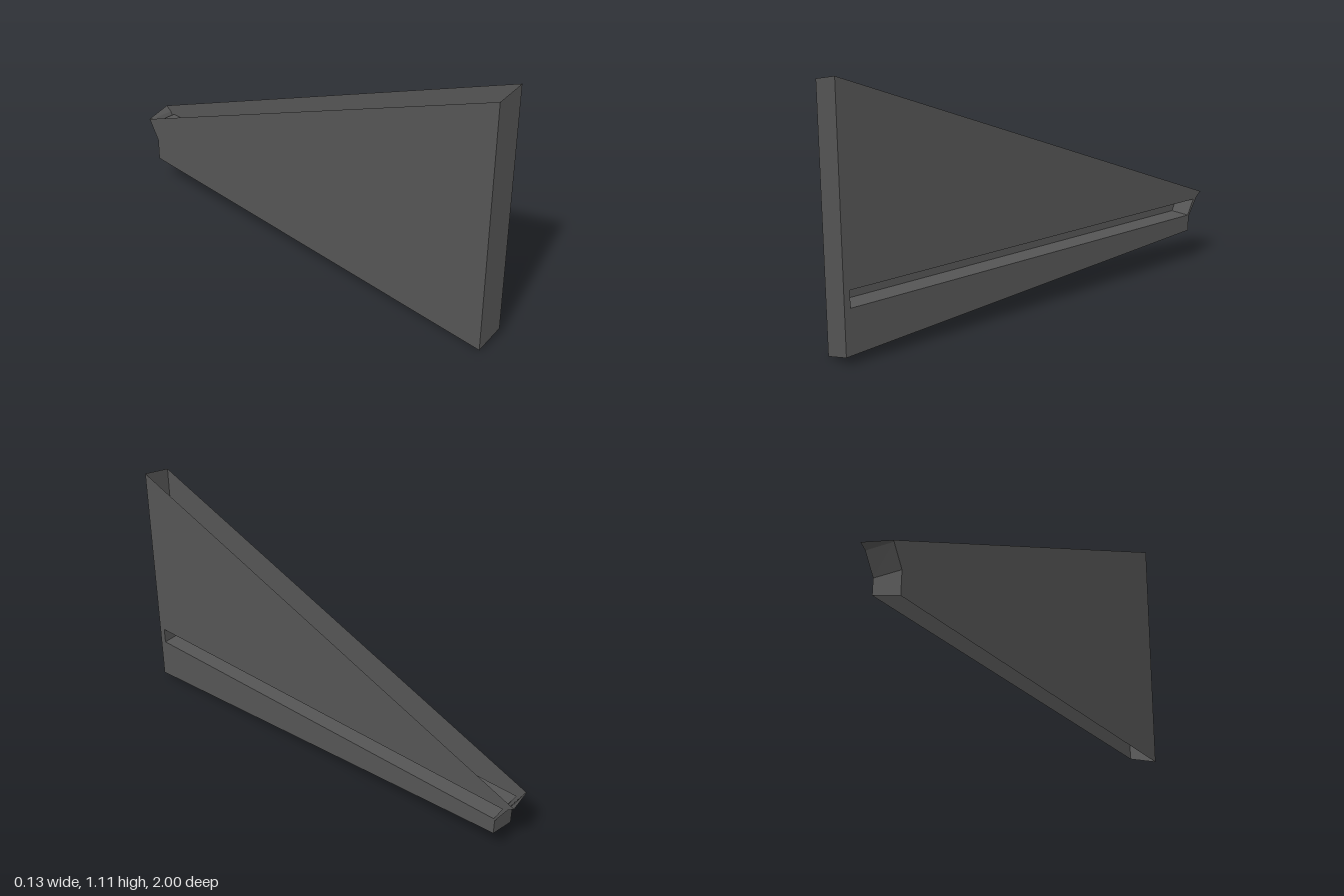
import * as THREE from 'three';

const HALF = 0.065;       // half width of the shell
const CHANNEL_X = -0.035; // depth reached by the side channel

// Side outlines as [z, y], from the lower front corner round to the lower back one
const innerSide = [[1, 0], [1, 1.087], [-0.976, 0.313], [-0.971, 0.308], [-0.92, 0.22], [-0.92, 0.12]];
const outerSide = [[1, 0.035], [1, 1.113], [-1, 0.33], [-0.972, 0.308], [-0.92, 0.22], [-0.92, 0.152]];
const channel = [[0.973, 0.228], [0.973, 0.3], [-0.95, 0.3], [-0.914, 0.228]];

const material = new THREE.MeshStandardMaterial({
  color: 0x555555, side: THREE.DoubleSide, flatShading: true,
});

function part(name, geometry) {
  geometry.computeVertexNormals();
  const mesh = new THREE.Mesh(geometry, material);
  mesh.name = name;
  return mesh;
}

// Flat plate standing at a given x, with an optional opening
function plate(name, outline, x, hole) {
  const toPoints = (list) => list.map(([z, y]) => new THREE.Vector2(z, y));
  const shape = new THREE.Shape(toPoints(outline));
  if (hole) shape.holes.push(new THREE.Path(toPoints(hole)));
  const g = new THREE.ShapeGeometry(shape);
  const p = g.attributes.position;
  for (let i = 0; i < p.count; i++) p.setXYZ(i, x, p.getY(i), p.getX(i));
  return part(name, g);
}

// Strip of quads joining two [z, y] lines at different x
function strip(name, lineA, xA, lineB, xB) {
  const pos = [];
  const at = (line, i, x) => [x, line[i][1], line[i][0]];
  for (let i = 0; i < lineA.length - 1; i++) {
    const a = at(lineA, i, xA), b = at(lineA, i + 1, xA);
    const c = at(lineB, i + 1, xB), d = at(lineB, i, xB);
    pos.push(...a, ...b, ...c, ...a, ...c, ...d);
  }
  const g = new THREE.BufferGeometry();
  g.setAttribute('position', new THREE.Float32BufferAttribute(pos, 3));
  return part(name, g);
}

export function createModel() {
  const group = new THREE.Group();
  group.name = 'taperedShell';

  // Side walls, the outer one cut by the long channel
  group.add(plate('plainSideWall', innerSide, -HALF));
  group.add(plate('channelSideWall', outerSide, HALF, channel));

  // End walls; top and bottom stay open
  group.add(strip('frontWall', innerSide.slice(0, 2), -HALF, outerSide.slice(0, 2), HALF));
  group.add(strip('backWall', innerSide.slice(2), -HALF, outerSide.slice(2), HALF));

  // Recessed channel: its four sides and its bed
  const loop = [...channel, channel[0]];
  group.add(strip('channelSides', loop, CHANNEL_X, loop, HALF));
  group.add(plate('channelBed', channel, CHANNEL_X));

  return group;
}
